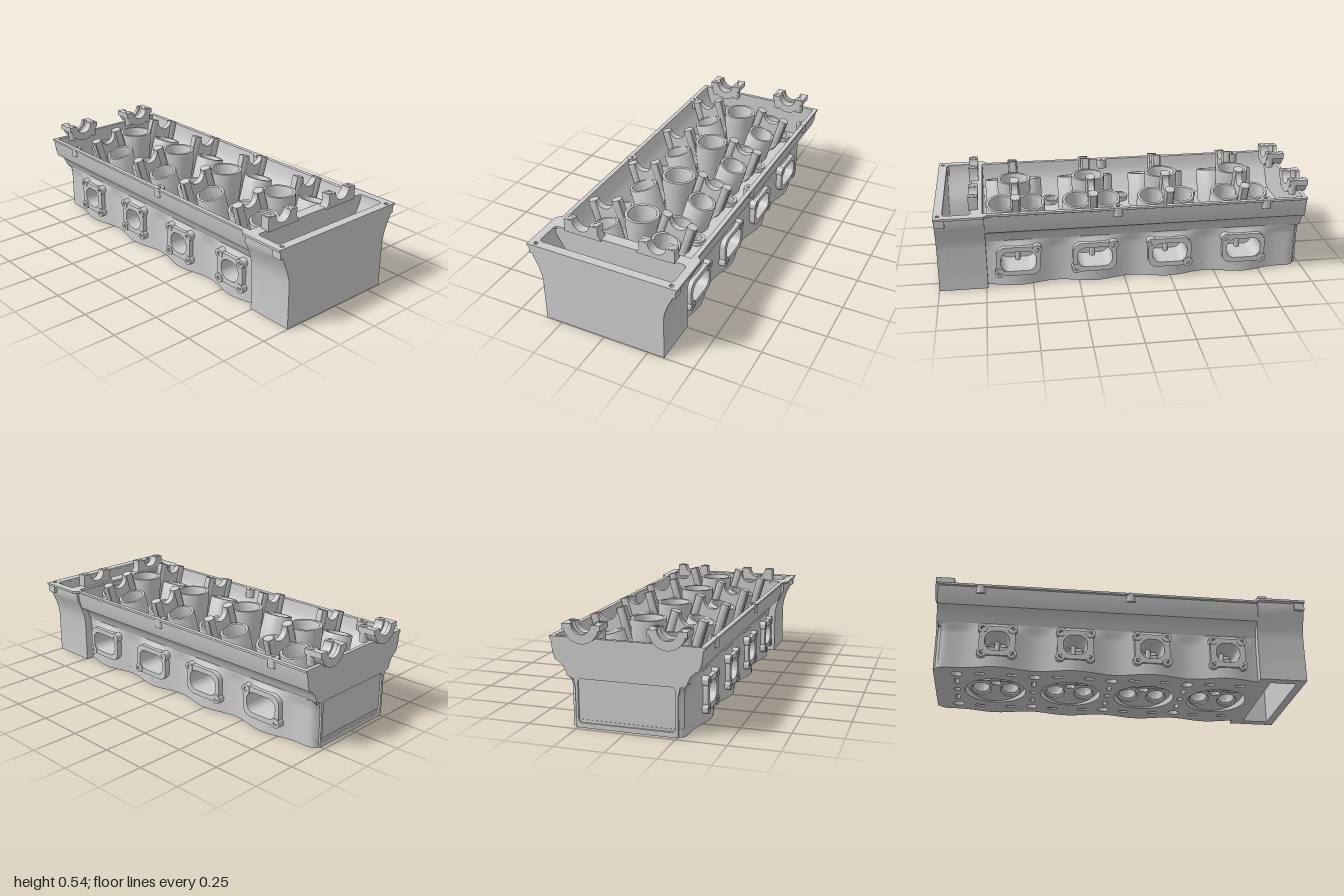
import * as THREE from 'three';
import { toCreasedNormals } from 'three/addons/utils/BufferGeometryUtils.js';

const mat = new THREE.MeshStandardMaterial({ color: 0xcccccc, side: THREE.DoubleSide });
const V = (x, y) => new THREE.Vector2(x, y);
const CYL = [0.575, 0.165, -0.245, -0.655];
const BOLTS = [0.37, -0.04, -0.45, -0.86];
const TILT = 0.28, ROOF = 0.055, R = 0.165;

function add(parent, name, geo, x = 0, y = 0, z = 0) {
  const m = new THREE.Mesh(toCreasedNormals(geo, 0.6), mat);
  m.name = name;
  m.position.set(x, y, z);
  parent.add(m);
  return m;
}
const poly = (pts) => new THREE.Shape(pts.map((p) => V(p[0], p[1])));
const extrude = (shape, depth) =>
  new THREE.ExtrudeGeometry(shape, { depth, bevelEnabled: false, curveSegments: 16 });
// horizontal plate: shape y becomes z, top face at local y = 0
const slab = (shape, h) => extrude(shape, h).rotateX(Math.PI / 2);
// shape drawn in (z, y), depth running towards -x
const sidePlate = (shape, d) => extrude(shape, d).rotateY(-Math.PI / 2);
const lathe = (pts, n = 36) => new THREE.LatheGeometry(pts.map((p) => V(p[0], p[1])), n);
const circle = (x, y, r) => new THREE.Path().absarc(x, y, r, 0, Math.PI * 2, true);
function roundRect(T, cx, cy, w, h, r) {
  const p = new T(), q = Math.PI / 2;
  p.absarc(cx + w - r, cy + h - r, r, 0, q);
  p.absarc(cx - w + r, cy + h - r, r, q, 2 * q);
  p.absarc(cx - w + r, cy - h + r, r, 2 * q, 3 * q);
  p.absarc(cx + w - r, cy - h + r, r, 3 * q, 4 * q);
  p.closePath();
  return p;
}
const mirrored = (half) => poly([...half, ...half.map(([x, y]) => [-x, y]).reverse()]);

// half width of the lower body: bulging at each port, rounded at the rear corner
function wave(z) {
  if (z >= -0.86) return 0.308 + 0.018 * Math.cos(((z - 0.165) / 0.41) * Math.PI * 2);
  const t = Math.min(1, Math.max(0, (-0.92 - z) / 0.05));
  return 0.29 - 0.035 * (1 - Math.sqrt(1 - t * t));
}
// the bulges fade into the straight cove above the ports
const wallX = (z, y) =>
  THREE.MathUtils.lerp(wave(z), Math.min(0.3, wave(z) + 0.01), THREE.MathUtils.smoothstep(y, 0.2, 0.262));

// lower side wall around one port: a grid from the opening out to a rectangle
function portWall(s, zc, z0, z1, hw, hh) {
  const y0 = 0, y1 = 0.262, yc = 0.145, n = 16, K = 14, pos = [], idx = [];
  const corners = [[z0, y0], [z1, y0], [z1, y1], [z0, y1]];
  for (let i = 0; i <= 4 * n; i++) {
    const a = corners[Math.floor(i / n) % 4], b = corners[(Math.floor(i / n) + 1) % 4], t = (i % n) / n;
    const qz = a[0] + (b[0] - a[0]) * t, qy = a[1] + (b[1] - a[1]) * t;
    const ang = Math.atan2(qy - yc, qz - zc), c = Math.cos(ang), d = Math.sin(ang);
    const r = (Math.abs(c / hw) ** 4 + Math.abs(d / hh) ** 4) ** -0.25;
    for (let k = 0; k <= K; k++) {
      const z = zc + c * r + ((qz - zc - c * r) * k) / K;
      const y = yc + d * r + ((qy - yc - d * r) * k) / K;
      pos.push(s * wallX(z, y), y, z);
      if (i && k) {
        const p = i * (K + 1) + k, o = p - K - 1;
        idx.push(...(s > 0 ? [o - 1, p, o, o - 1, p - 1, p] : [o - 1, o, p, o - 1, p, p - 1]));
      }
    }
  }
  const g = new THREE.BufferGeometry();
  g.setAttribute('position', new THREE.Float32BufferAttribute(pos, 3));
  g.setIndex(idx);
  return g;
}

// bearing block with a half-round saddle, top at y = 0; base may widen or narrow on each side
function saddle(w, r, depth, baseIn, baseOut) {
  const s = new THREE.Shape();
  s.moveTo(-baseIn, -depth);
  s.lineTo(baseOut, -depth);
  s.lineTo(w, -depth * 0.6);
  s.lineTo(w, 0);
  s.lineTo(r, 0);
  s.absarc(0, 0, r, 0, Math.PI, true);
  s.lineTo(-w, 0);
  s.lineTo(-w, -depth * 0.6);
  s.closePath();
  return s;
}

// one port flange with its bosses and the duct behind it
function port(g, s, zc, i) {
  const intake = s > 0, hw = intake ? 0.094 : 0.064, hh = 0.056, r = intake ? 0.046 : 0.05;
  const X = (face, d) => (s > 0 ? face : -face + d);
  const plate = roundRect(THREE.Shape, 0, 0, intake ? 0.118 : 0.095, 0.083, 0.05);
  plate.holes.push(roundRect(THREE.Path, 0, 0, hw, hh, r));
  add(g, 'portFlange', sidePlate(plate, 0.05), X(0.335, 0.05), 0.145, zc);
  const duct = roundRect(THREE.Shape, 0, 0, hw + 0.008, hh + 0.008, r + 0.008);
  duct.holes.push(roundRect(THREE.Path, 0, 0, hw, hh, r));
  add(g, 'portDuct', sidePlate(duct, 0.17), X(0.32, 0.17), 0.145, zc);
  add(g, 'portEnd', sidePlate(roundRect(THREE.Shape, 0, 0, hw, hh, r), 0.01), X(0.16, 0.01), 0.145, zc);
  add(g, 'portDivider', new THREE.CylinderGeometry(0.014, 0.014, 0.11, 16), s * 0.19, 0.145, zc);
  const d = i < 2 ? -1 : 1;
  const spots = intake ? [[d * 0.1, 0.063], [-d * 0.1, -0.063]]
    : [[0.078, 0.07], [-0.078, 0.07], [0.078, -0.07], [-0.078, -0.07]];
  for (const [z, y] of spots) {
    const boss = new THREE.Shape().absarc(0, 0, 0.026, 0, Math.PI * 2);
    boss.holes.push(circle(0, 0, 0.011));
    add(g, 'portBoss', sidePlate(boss, 0.06), X(0.339, 0.06), 0.145 + y, zc + z);
  }
}

// chamber, valves, lifter bores and cam bearings of one cylinder
function cylinder(parent, zc) {
  const c = new THREE.Group();
  c.name = 'cylinderUnit';
  c.position.z = zc;
  parent.add(c);
  add(c, 'chamberWall', new THREE.CylinderGeometry(R, R, 0.06, 48, 1, true), 0, 0.03);
  add(c, 'plugTube', lathe([[0.028, 0.045], [0.028, 0.265], [0.042, 0.265], [0.042, 0.25], [0.06, 0.25],
    [0.069, 0.47], [0.075, 0.49], [0.09, 0.49], [0.09, 0.43], [0.068, 0.23], [0.04, 0.05]]));
  for (const turn of [0, Math.PI]) {
    const side = new THREE.Group(), tilt = new THREE.Group();
    side.name = 'valveSide';
    tilt.name = 'tiltedValveTrain';
    side.rotation.y = turn;
    tilt.position.y = ROOF;
    tilt.rotation.z = -TILT;
    side.add(tilt);
    c.add(side);
    const roof = new THREE.Shape();
    roof.moveTo(0, -R);
    roof.lineTo(0.172, -R);
    roof.lineTo(0.172, R);
    roof.lineTo(0, R);
    roof.lineTo(0, 0.028);
    roof.absarc(0, 0, 0.028, Math.PI / 2, -Math.PI / 2, true);
    roof.closePath();
    for (const z of [-0.08, 0.08]) {
      roof.holes.push(circle(0.07, z, 0.055));
      add(tilt, 'valveSeat', lathe([[0.055, 0], [0.055, 0.008], [0.045, 0.018], [0.042, 0.05],
        [0.03, 0.075], [0.014, 0.08], [0.012, 0.1], [0, 0.1]]), 0.07, 0, z);
      add(tilt, 'lifterBore', lathe([[0.078, 0.17], [0.078, 0.395], [0.075, 0.4], [0.062, 0.4], [0.06, 0.395],
        [0.06, 0.22], [0.022, 0.22], [0.022, 0.25], [0.01, 0.25], [0.01, 0.23], [0, 0.23]]), 0.07, 0, z);
    }
    add(tilt, 'chamberRoof', new THREE.ShapeGeometry(roof, 24).rotateX(Math.PI / 2));
    add(tilt, 'camBearing', extrude(saddle(0.097, 0.05, 0.26, 0.06, 0.045), 0.034), 0.08, 0.502, -0.017);
    for (const u of [-0.073, 0.073])
      add(tilt, 'bearingBoss', lathe([[0.012, -0.19], [0.026, -0.15], [0.026, 0], [0.012, 0], [0.012, -0.04],
        [0, -0.04]], 20), 0.08 + u, 0.502);
  }
}

export function createModel() {
  const g = new THREE.Group();
  g.name = 'cylinderHead';

  // bottom deck with wavy edge, chamber openings, bolt holes and coolant slots
  const edge = [];
  for (let i = 0; i <= 120; i++) edge.push([wave(-0.97 + i * 0.0144), -0.97 + i * 0.0144]);
  const deck = mirrored(edge);
  for (const z of CYL) {
    deck.holes.push(circle(0, z, R));
    for (const s of [-1, 1]) for (const e of [-1, 1])
      deck.holes.push(roundRect(THREE.Path, s * 0.225, z + e * 0.085, 0.013, 0.028, 0.0125));
  }
  for (const z of BOLTS) {
    for (const s of [-1, 1]) {
      deck.holes.push(circle(s * 0.21, z, 0.03));
      deck.holes.push(roundRect(THREE.Path, s * 0.11, z, 0.03, 0.012, 0.0115));
    }
    deck.holes.push(circle(0, z, 0.018));
  }
  add(g, 'deck', slab(deck, 0.04), 0, 0.04);

  // floor of the cam tub
  const floor = poly([[-0.28, -0.96], [0.28, -0.96], [0.28, 0.76], [-0.28, 0.76]]);
  for (const z of CYL) floor.holes.push(circle(0, z, 0.045));
  for (const z of BOLTS) for (const s of [-1, 1]) floor.holes.push(circle(s * 0.21, z, 0.035));
  add(g, 'tubFloor', slab(floor, 0.02), 0, 0.25);

  const upper = [[0.255, 0.235], [0.285, 0.24], [0.3, 0.256], [0.306, 0.275], [0.32, 0.303], [0.34, 0.322],
    [0.36, 0.332], [0.372, 0.37], [0.38, 0.43], [0.388, 0.434], [0.388, 0.445],
    [0.364, 0.445], [0.357, 0.39], [0.34, 0.345], [0.31, 0.315], [0.288, 0.275], [0.255, 0.25]];
  const caseOuter = [[0.34, 0], [0.34, 0.24], [0.346, 0.28], [0.36, 0.325], [0.376, 0.36], [0.39, 0.39], [0.39, 0.435]];
  const caseInner = [[0.375, 0.435], [0.372, 0.4], [0.31, 0.29], [0.29, 0.24], [0.29, 0]];
  for (const s of [-1, 1]) {
    const flip = (pts) => poly(pts.map(([x, y]) => [s * x, y]));
    add(g, 'tubSide', extrude(flip(upper), 1.72), 0, 0, -0.97);
    add(g, 'chainCaseSide', extrude(flip([...caseOuter, ...caseInner]), 0.255), 0, 0, 0.742);
    CYL.forEach((z, i) => {
      add(g, 'portWall', portWall(s, z, i === 3 ? -0.97 : z - 0.205, z + 0.205,
        s > 0 ? 0.1 : 0.071, 0.064));
      port(g, s, z, i);
    });
    for (const z of BOLTS)
      add(g, 'boltSleeve', lathe([[0.036, 0], [0.03, 0], [0.03, 0.275], [0.047, 0.275], [0.047, 0.23]], 28),
        s * 0.207, 0, z);
    // cover screw bosses along the rim
    for (const z of [0.045, -0.755])
      add(g, 'rimBoss', lathe([[0, 0.395], [0.028, 0.395], [0.028, 0.446], [0.011, 0.446], [0.011, 0.42], [0, 0.42]], 20),
        s * 0.362, 0, z);
    add(g, 'cornerTab', new THREE.BoxGeometry(0.066, 0.04, 0.055), s * 0.373, 0.413, 0.97);

    // front cam bearings, feet widening towards the middle
    const front = add(g, 'frontCamBearing', extrude(saddle(0.097, 0.05, 0.075, 0.115, 0.097), 0.05),
      s * 0.213, 0.516, s > 0 ? 0.77 : 0.82);
    front.rotation.y = s > 0 ? 0 : Math.PI;
    // rear cam bearings: narrow ribs either side of an oil groove
    for (const [r, z, d] of [[0.05, -1, 0.02], [0.063, -0.98, 0.03], [0.05, -0.95, 0.05]]) {
      const cup = new THREE.Shape();
      cup.moveTo(0.097, 0);
      cup.lineTo(r, 0);
      cup.absarc(0, 0, r, 0, -Math.PI, true);
      cup.lineTo(-0.097, 0);
      cup.lineTo(-0.097, -0.03);
      cup.absarc(0, -0.005, 0.09, Math.PI * 1.08, Math.PI * 1.92);
      cup.lineTo(0.097, -0.03);
      cup.closePath();
      add(g, 'rearCamBearing', extrude(cup, d), s * 0.213, 0.516, z);
    }
    for (const u of [-0.073, 0.073]) {
      add(g, 'rearBearingBoss', new THREE.CylinderGeometry(0.024, 0.02, 0.085, 20), s * 0.213 + u, 0.4735, -0.922);
      for (const z of [0.795, -0.922])
        add(g, 'bearingDowel', lathe([[0.02, 0], [0.02, 0.003], [0.011, 0.003], [0.011, 0]], 16),
          s * 0.213 + u, 0.515, z);
    }
  }

  // rear wall: narrow lower block with a recessed panel under the flared tub end
  const back = mirrored([[0.258, 0], [0.258, 0.2], [0.268, 0.245], [0.3, 0.256], [0.306, 0.275], [0.32, 0.303],
    [0.34, 0.322], [0.36, 0.332], [0.372, 0.37], [0.38, 0.43], [0.388, 0.434], [0.388, 0.445]]);
  back.holes.push(roundRect(THREE.Path, 0, 0.135, 0.245, 0.11, 0.02));
  add(g, 'rearWall', extrude(back, 0.02), 0, 0, -0.978);
  add(g, 'rearPanel', new THREE.BoxGeometry(0.51, 0.24, 0.008), 0, 0.135, -0.964);

  // chain case at the front, open top and bottom
  add(g, 'frontWall', extrude(mirrored(caseOuter), 0.045), 0, 0, 0.953);
  add(g, 'caseRearWall', extrude(mirrored(caseOuter), 0.063), 0, 0, 0.747);
  const rim = mirrored([[0.364, 0.75], [0.364, 0.72], [0.388, 0.72], [0.415, 0.75], [0.415, 1]]);
  rim.holes.push(roundRect(THREE.Path, 0, 0.882, 0.372, 0.072, 0.02));
  for (const s of [-1, 1]) rim.holes.push(circle(s * 0.375, 0.976, 0.011));
  add(g, 'caseRim', slab(rim, 0.012), 0, 0.447);

  for (const z of CYL) cylinder(g, z);
  return g;
}
